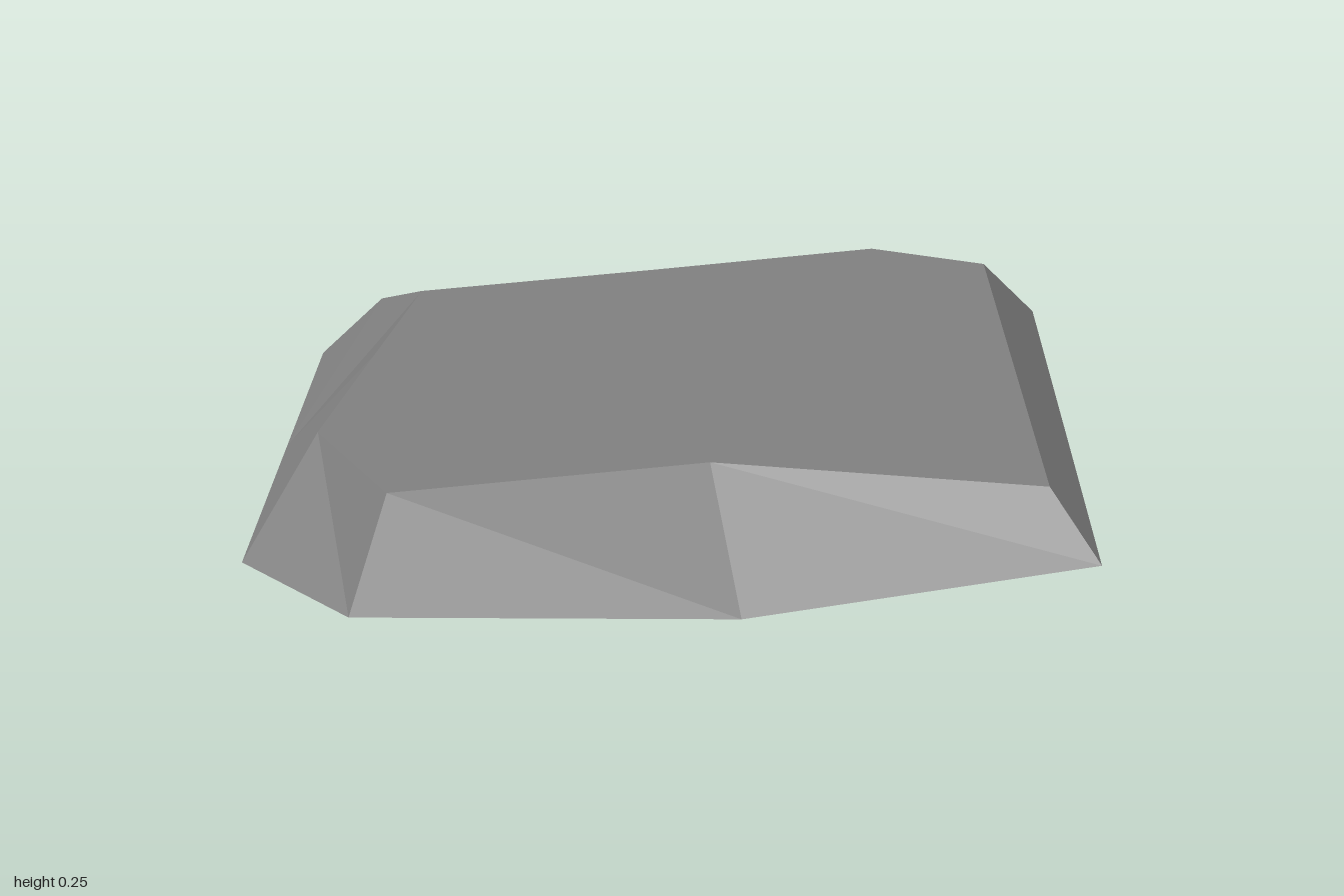
import * as THREE from 'three';

const H = 0.245; // height of the flat top

// Corners run clockwise seen from above, starting at the back left
const rim = [
  [-0.70, -0.46], [-0.09, -0.64], [0.52, -0.83], [0.82, -0.70], [0.82, 0.83],
  [0.07, 0.70], [-0.64, 0.88], [-0.84, 0.53], [-0.77, 0.03],
].map(([x, z]) => [x, H, z]); // 0..8

const foot = [
  [-0.64, 0, -1], [0, 0, -1], [1, 0, -1], [0.965, 0.05, -0.03], [0.93, 0.10, 0.93],
  [0.14, 0, 1], [-0.72, 0, 1], [-1, 0, 0.72], [-1, 0, 0.03], [-1, 0, -0.64],
]; // 9..18

const chip = [-0.84, 0.135, -0.71]; // 19, tip of the chipped back corner
const corners = [...rim, ...foot, chip];

// Flat facets, each cut into a fan of triangles from its first corner
function facets(name, faces, material) {
  const pos = [];
  for (const f of faces)
    for (let i = 1; i < f.length - 1; i++)
      for (const k of [f[0], f[i], f[i + 1]]) pos.push(...corners[k]);
  const geo = new THREE.BufferGeometry();
  geo.setAttribute('position', new THREE.Float32BufferAttribute(pos, 3));
  geo.computeVertexNormals();
  const mesh = new THREE.Mesh(geo, material);
  mesh.name = name;
  return mesh;
}

export function createModel() {
  const stone = new THREE.MeshStandardMaterial({ color: 0x808080 });
  stone.name = 'grey stone';

  const group = new THREE.Group();
  group.name = 'flatRock';
  group.add(
    facets('rockTop', [[5, 4, 3, 2, 1, 0, 8, 7, 6]], stone),
    facets('rockSides', [
      [9, 19, 0, 1, 10], [10, 1, 2, 11], [11, 2, 3],   // back
      [12, 11, 3, 4, 13],                              // +x side
      [13, 4, 5, 14], [14, 5, 6, 15],                  // front
      [15, 6, 7, 16],                                  // front bevel
      [16, 7, 8, 17], [17, 8, 0, 19, 18],              // -x side
      [18, 19, 9],                                     // back chip
    ], stone),
    // Underside lifts towards the front +x corner
    facets('rockUnderside', [
      [14, 15, 16, 17, 18, 9, 10], [14, 10, 12], [10, 11, 12], [12, 13, 14],
    ], stone),
  );
  return group;
}
